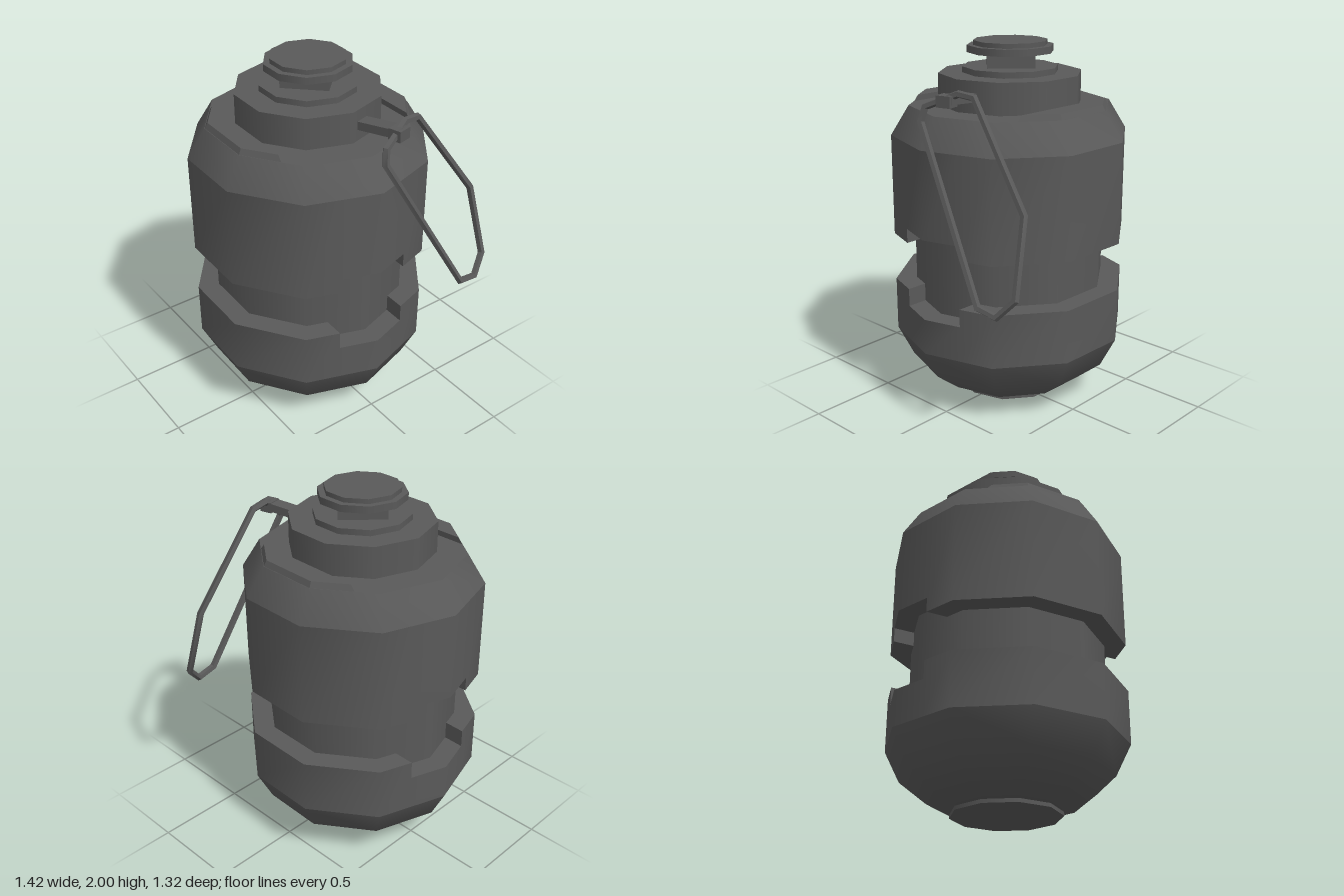
import * as THREE from 'three';
import { toCreasedNormals } from 'three/addons/utils/BufferGeometryUtils.js';
import { ConvexGeometry } from 'three/addons/geometries/ConvexGeometry.js';

const SIDES = 10, CREASE = 0.7, OUTER = 0.655, CORE = 0.538, NOTCH = 0.205;
const grey = new THREE.MeshStandardMaterial({ color: 0x595959 });
grey.name = 'dark grey metal';

function add(parent, name, geometry) {
  const mesh = new THREE.Mesh(geometry, grey);
  mesh.name = name;
  parent.add(mesh);
  return mesh;
}

// Ten-sided disc between two heights, a corner pointing along +x
function disc(parent, name, r, y0, y1, rTop = r) {
  const g = new THREE.CylinderGeometry(rTop, r, y1 - y0, SIDES, 1, false, Math.PI / 2);
  add(parent, name, g).position.y = (y0 + y1) / 2;
}

// Ten-sided turned band, smooth along its profile
function band(parent, name, profile) {
  const points = profile.map(([r, y]) => new THREE.Vector2(r, y));
  add(parent, name, toCreasedNormals(new THREE.LatheGeometry(points, SIDES, Math.PI / 2), CREASE));
}

const corner = (r, k) => {
  const a = (k * Math.PI * 2) / SIDES;
  return [r * Math.cos(a), r * Math.sin(a)];
};

// Decagon outline with extra points where the side notches begin and end
function notchedRing(r) {
  const ring = [];
  for (let k = 0; k < SIDES; k++) {
    const a = corner(r, k), b = corner(r, k + 1);
    ring.push(a);
    if ([0, 4, 5, 9].includes(k)) {
      const t = (NOTCH - Math.abs(a[1])) / (Math.abs(b[1]) - Math.abs(a[1]));
      ring.push([a[0] + (b[0] - a[0]) * t, a[1] + (b[1] - a[1]) * t]);
    }
  }
  return ring;
}

// Wall whose rim is cut back to notchY on the left and right sides
function notchedShell(parent, name, wallY, rimY, notchY) {
  const outer = notchedRing(OUTER), inner = notchedRing(CORE - 0.01);
  const n = outer.length, up = rimY > wallY, pos = [];
  const at = (p, y) => [p[0], y, p[1]];
  const quad = (a, b, c, d, flip) => {
    const [p, q, r, s] = flip === up ? [d, c, b, a] : [a, b, c, d];
    pos.push(...p, ...q, ...r, ...p, ...r, ...s);
  };
  for (let i = 0; i < n; i++) {
    const j = (i + 1) % n;
    const y = i % 7 === 0 || i % 7 === 6 ? notchY : rimY;
    quad(at(outer[j], wallY), at(outer[i], wallY), at(outer[i], y), at(outer[j], y), false);
    quad(at(outer[j], y), at(outer[i], y), at(inner[i], y), at(inner[j], y), false);
    // upright step at each end of a notch
    if (i % 7 === 1 || i % 7 === 6) {
      quad(at(outer[i], notchY), at(inner[i], notchY), at(inner[i], rimY), at(outer[i], rimY), i % 7 === 6);
    }
  }
  const g = new THREE.BufferGeometry();
  g.setAttribute('position', new THREE.Float32BufferAttribute(pos, 3));
  add(parent, name, toCreasedNormals(g, CREASE));
}

// Raised shoulder plate: the part of the tapered top beyond |z| = cut
function shoulderPlate(parent, side) {
  const cut = 0.397, points = [];
  for (const [r, y] of [[0.556, 1.655], [0.538, 1.69]]) {
    const a = corner(r, 1), b = corner(r, 2);
    const x = a[0] + ((b[0] - a[0]) * (cut - a[1])) / (b[1] - a[1]);
    for (const s of [-1, 1]) {
      points.push(new THREE.Vector3(s * x, y, side * cut), new THREE.Vector3(s * b[0], y, side * b[1]));
    }
  }
  add(parent, 'shoulderPlate', new ConvexGeometry(points));
}

// Closed polyline with mitred corners
class WireLoop extends THREE.Curve {
  constructor(points) {
    super();
    this.points = points;
  }
  vertex(i) {
    const n = this.points.length;
    return this.points[((i % n) + n) % n];
  }
  getPoint(t) {
    const f = t * this.points.length, i = Math.floor(f + 1e-6);
    return this.vertex(i).clone().lerp(this.vertex(i + 1), Math.max(0, f - i));
  }
  getPointAt(t) {
    return this.getPoint(t);
  }
  getTangentAt(t) {
    const i = Math.round(t * this.points.length), p = this.vertex(i);
    const before = p.clone().sub(this.vertex(i - 1)).normalize();
    return this.vertex(i + 1).clone().sub(p).normalize().add(before).normalize();
  }
}

// Flat bar running from one point to another
function bar(parent, name, from, to, width, height) {
  const a = new THREE.Vector3(...from), b = new THREE.Vector3(...to);
  const mesh = add(parent, name, new THREE.BoxGeometry(width, height, a.distanceTo(b)));
  mesh.position.copy(a).lerp(b, 0.5);
  mesh.lookAt(b);
}

export function createModel() {
  const model = new THREE.Group();
  model.name = 'grenade';
  const body = new THREE.Group();
  body.name = 'body';
  body.position.set(-0.06, 0, 0.034);
  body.rotation.y = -0.028;
  model.add(body);

  // Foot and rounded lower shell
  disc(body, 'footPlate', 0.297, 0, 0.02);
  disc(body, 'footNeck', 0.21, 0.015, 0.04);
  band(body, 'bowl', [[0, 0.032], [0.28, 0.034], [0.42, 0.08], [0.57, 0.2], [OUTER, 0.37]]);
  notchedShell(body, 'lowerShell', 0.37, 0.67, 0.57);

  // Recessed core and upper shell
  disc(body, 'core', CORE, 0.5, 1.1);
  notchedShell(body, 'upperShell', 1.5, 0.94, 1.02);
  band(body, 'shoulder', [[OUTER, 1.5], [0.556, 1.66]]);
  band(body, 'shoulderTop', [[0.556, 1.66], [0.3, 1.66]]);
  shoulderPlate(body, 1);
  shoulderPlate(body, -1);

  // Head and knob
  disc(body, 'head', 0.394, 1.65, 1.83);
  disc(body, 'headDisc', 0.263, 1.82, 1.862);
  const neck = new THREE.CylinderGeometry(0.18, 0.18, 0.1, 4).toNonIndexed();
  neck.computeVertexNormals();
  const neckMesh = add(body, 'knobNeck', neck);
  neckMesh.position.y = 1.9;
  neckMesh.rotation.y = 0.028;
  disc(body, 'knobFlange', 0.237, 1.937, 1.975);
  disc(body, 'knobCap', 0.203, 1.97, 2);

  // Arm with a collar that holds the pull ring
  bar(model, 'ringArm', [0.27, 1.74, -0.015], [0.55, 1.77, -0.09], 0.08, 0.045);
  bar(model, 'ringCollar', [0.495, 1.762, -0.075], [0.565, 1.762, -0.092], 0.08, 0.06);

  // Pull ring of bent wire
  const loop = [
    [0.59, 1.65, 0.045], [0.57, 1.725, 0.03], [0.505, 1.8, -0.14],
    [0.49, 1.79, -0.235], [0.535, 1.28, -0.605], [0.635, 0.89, -0.642],
    [0.678, 0.79, -0.555], [0.688, 0.81, -0.44],
  ].map((p) => new THREE.Vector3(...p));
  const wire = new THREE.TubeGeometry(new WireLoop(loop), loop.length, 0.02, 5, true);
  add(model, 'pullRing', toCreasedNormals(wire, CREASE));

  return model;
}
